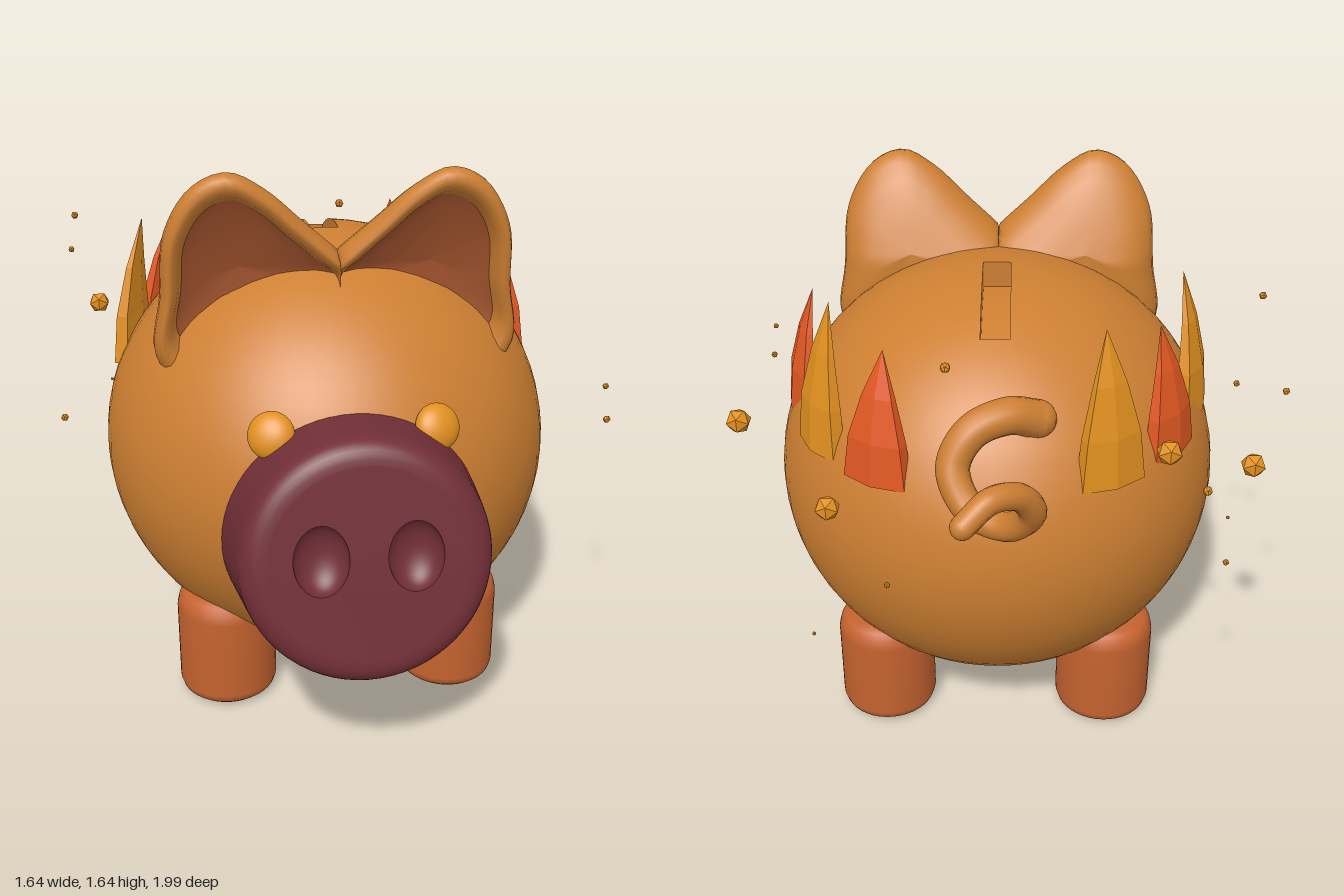
import * as THREE from 'three';

const mat = (name, color) => Object.assign(new THREE.MeshStandardMaterial({ color }), { name });
const V = (x, y, z) => new THREE.Vector3(x, y, z);

// Closed rings of equal length joined into one smooth surface
function loft(rings) {
  const n = rings[0].length, index = [];
  for (let k = 0; k < rings.length - 1; k++) {
    for (let i = 0; i < n; i++) {
      const a = k * n + i, b = k * n + (i + 1) % n;
      index.push(a, b, a + n, b, b + n, a + n);
    }
  }
  const g = new THREE.BufferGeometry().setFromPoints(rings.flat());
  g.setIndex(index);
  g.computeVertexNormals();
  return g;
}

function flat(g) {
  const f = g.index ? g.toNonIndexed() : g;
  f.computeVertexNormals();
  return f;
}

export function createModel() {
  const bronze = mat('bronze', 0xcd7f32);
  const sienna = mat('inner ear sienna', 0xa0522d);
  const wine = mat('snout wine', 0x722f37);
  const clay = mat('leg clay', 0xc4622f);
  const amber = mat('amber', 0xe2901f);
  const flameRed = mat('flame red', 0xe25822);

  const model = new THREE.Group();
  const add = (name, geometry, material, parent = model) => {
    const m = new THREE.Mesh(geometry, material);
    m.name = name;
    parent.add(m);
    return m;
  };

  // Body: ellipsoid whose top opens into a rectangular coin slot
  const R = V(0.7, 0.67, 0.742), C = V(0, 0.72, 0.02);
  const place = p => p.clone().normalize().multiply(R).add(C);
  const a = 0.061, l = 0.252, vz = -0.238;
  const path = [[0, l, 2], [-a, l, 28], [-a, -l, 4], [a, -l, 28], [a, l, 2], [0, l, 0]];
  const rect = [];
  for (let s = 0; s < 5; s++) {
    const [x0, z0, n] = path[s], [x1, z1] = path[s + 1];
    for (let i = 0; i < n; i++) {
      const x = x0 + (x1 - x0) * i / n, z = vz + z0 + (z1 - z0) * i / n;
      rect.push(V(x, Math.sqrt(1 - x * x - z * z), z));
    }
  }
  const circle = polar => rect.map((_, i) => {
    const t = Math.PI / 2 + i / rect.length * Math.PI * 2;
    return V(Math.sin(polar) * Math.cos(t), Math.cos(polar), Math.sin(polar) * Math.sin(t));
  });
  const bodyRings = [], shoulder = circle(Math.PI / 3);
  for (let k = 0; k <= 10; k++) bodyRings.push(rect.map((p, i) => place(p.clone().lerp(shoulder[i], k / 10))));
  for (let k = 1; k <= 24; k++) bodyRings.push(circle(Math.PI / 3 + k / 24 * Math.PI * 2 / 3).map(place));
  add('body', loft(bodyRings), bronze);

  // Coin slot walls and floor
  const slotTop = rect.map(place);
  const slotFloor = slotTop.map(p => V(p.x, p.y - 0.08, p.z));
  const slotMiddle = slotFloor.map(p => V(0, p.y, p.z));
  add('coinSlot', flat(loft([slotMiddle, slotFloor, slotTop])), bronze);

  // Snout: tapered drum with a rounded edge, tilted upward
  const snout = new THREE.Group();
  snout.name = 'snout';
  snout.position.set(0, 0.725, 0.94);
  snout.rotation.x = -0.18;
  model.add(snout);
  const edge = new THREE.QuadraticBezierCurve(
    new THREE.Vector2(0.342, -0.07), new THREE.Vector2(0.335, 0), new THREE.Vector2(0.27, 0)).getPoints(8);
  add('snoutSide', new THREE.LatheGeometry([new THREE.Vector2(0.388, -0.45), ...edge], 64).rotateX(Math.PI / 2), wine, snout);

  // Snout face with two hollow nostrils
  const face = new THREE.Shape().absarc(0, 0, 0.27, 0, Math.PI * 2);
  const bowl = [];
  for (let i = 0; i <= 10; i++) {
    const t = i / 10 * Math.PI / 2;
    bowl.push(new THREE.Vector2(Math.cos(t), -Math.sin(t)));
  }
  for (const side of [1, -1]) {
    face.holes.push(new THREE.Path().absellipse(0.125 * side, 0.02, 0.074, 0.097, 0, Math.PI * 2, true));
    const g = new THREE.LatheGeometry(bowl, 64).scale(0.074, 0.06, 0.097).rotateX(Math.PI / 2);
    add('nostril', g, wine, snout).position.set(0.125 * side, 0.02, 0);
  }
  add('snoutFace', new THREE.ShapeGeometry(face, 32), wine, snout);

  // Legs: rounded cylinders
  const legProfile = [[0, 0], [0.11, 0], [0.13, 0.005], [0.145, 0.018], [0.152, 0.04], [0.152, 0.295],
    [0.145, 0.325], [0.13, 0.345], [0.1, 0.355], [0, 0.355]].map(p => new THREE.Vector2(...p));
  for (const x of [0.352, -0.352]) {
    for (const z of [0.367, -0.35]) {
      add(z > 0 ? 'frontLeg' : 'backLeg', new THREE.LatheGeometry(legProfile, 40), clay).position.set(x, 0, z);
    }
  }

  // Ears: bulging back, rounded rim, hollow front; they meet on the centre line
  const outline = new THREE.CatmullRomCurve3([[0.53, 1.1], [0.51, 1.28], [0.49, 1.47], [0.41, 1.6], [0.31, 1.64],
    [0.21, 1.59], [0.1, 1.49], [0, 1.4], [-0.1, 1.3], [-0.02, 1.16], [0.2, 1.0], [0.45, 1.0]]
    .map(([x, y]) => V(x, y, 0)), true).getSpacedPoints(64).slice(0, 64);
  const earRing = (side, s, depth) => {
    const ring = outline.map(p => {
      const x = 0.28 + (p.x - 0.28) * s, y = 1.35 + (p.y - 1.35) * s;
      const front = 0.37 + (y - 1.14) * 0.09, back = 0.18 + Math.max(0, y - 1.32) * 0.38;
      return V(side * Math.max(x, 0), y, front + (back - front) * depth);
    });
    return side > 0 ? ring : ring.reverse();
  };
  const shell = [[0, 1], [0.3, 0.99], [0.55, 0.96], [0.75, 0.88], [0.9, 0.74], [0.97, 0.58], [1, 0.4],
    [0.99, 0.22], [0.95, 0.07], [0.9, 0], [0.84, 0.02], [0.78, 0.12], [0.73, 0.32]];
  const hollow = [[0.73, 0.32], [0.6, 0.42], [0.3, 0.5], [0, 0.52]];
  for (const side of [1, -1]) {
    add('ear', loft(shell.map(p => earRing(side, ...p))), bronze);
    add('innerEar', loft(hollow.map(p => earRing(side, ...p))), sienna);
  }

  // Eyes: flattened balls lying on the body
  for (const side of [1, -1]) {
    const eye = add('eye', new THREE.SphereGeometry(0.066, 28, 20), amber);
    eye.scale.z = 0.6;
    eye.position.set(0.228 * side, 0.99, 0.672);
    eye.rotation.set(-0.45, 0.35 * side, 0, 'YXZ');
  }

  // Curly tail: tapering tube with round ends
  const curl = new THREE.CatmullRomCurve3([[-0.12, 1.15, -0.53], [-0.04, 1.18, -0.57], [0.06, 1.15, -0.61],
    [0.11, 1.06, -0.65], [0.06, 0.965, -0.71], [-0.04, 0.95, -0.765], [-0.105, 1.03, -0.82],
    [-0.07, 1.11, -0.87], [0, 1.13, -0.92], [0.07, 1.08, -0.965]].map(p => V(...p)));
  const steps = 80, sides = 14;
  const radius = t => 0.055 - 0.022 * t;
  const tube = new THREE.TubeGeometry(curl, steps, 1, sides);
  const tp = tube.attributes.position;
  for (let i = 0; i < tp.count; i++) {
    const t = Math.floor(i / (sides + 1)) / steps, c = curl.getPointAt(t);
    const p = V(0, 0, 0).fromBufferAttribute(tp, i).sub(c).multiplyScalar(radius(t)).add(c);
    tp.setXYZ(i, p.x, p.y, p.z);
  }
  add('tail', tube, bronze);
  for (const t of [0, 1]) {
    add('tailEnd', new THREE.SphereGeometry(radius(t), 16, 12), bronze).position.copy(curl.getPointAt(t));
  }

  // Flames: faceted flattened cones leaning inward around the rear flanks
  const flame = height => {
    const g = new THREE.ConeGeometry(1, 1, 6, 3).translate(0, 0.5, 0);
    const p = g.attributes.position, widths = [1, 0.84, 0.48, 0];
    for (let i = 0; i < p.count; i++) {
      const t = p.getY(i), k = Math.round(t * 3), r = t < 0.99 ? widths[k] / (1 - k / 3) : 0;
      p.setXYZ(i, p.getX(i) * r * 0.118, t * height, p.getZ(i) * r * 0.042 - 0.055 * t * t);
    }
    return flat(g);
  };
  const spots = [[0.607, -0.1, 22], [0.512, -0.365, 37], [0.328, -0.553, 62]];
  for (const side of [1, -1]) {
    spots.forEach(([x, z, angle], i) => {
      const red = (i % 2 === 0) === (side > 0);
      const f = add('flame', flame(red ? 0.385 : 0.45), red ? flameRed : amber);
      f.position.set(x * side, 0.96, z);
      f.rotation.y = side * (angle + 90) * Math.PI / 180;
    });
  }

  // Floating sparks
  const sparks = [[0.712, 1.13, -0.52, 0.037], [-0.732, 1, -0.52, 0.037], [0.44, 1, -0.76, 0.036],
    [-0.458, 1.18, -0.76, 0.036], [-0.77, 1.39, -0.22, 0.012], [-0.81, 1.21, -0.47, 0.011],
    [-0.812, 0.88, 0.22, 0.012], [0.79, 0.985, 0.435, 0.01], [0.805, 0.875, 0.43, 0.012],
    [0.28, 0.815, -0.85, 0.009], [0.5, 0.6, -0.79, 0.006], [-0.66, 0.75, -0.64, 0.01],
    [-0.63, 0.85, -0.42, 0.016], [0.13, 1.32, -0.56, 0.016], [-0.7, 0.75, -0.41, 0.006]];
  for (const [x, y, z, r] of sparks) {
    add('spark', new THREE.IcosahedronGeometry(r, 0), amber).position.set(x, y, z);
  }
  return model;
}
